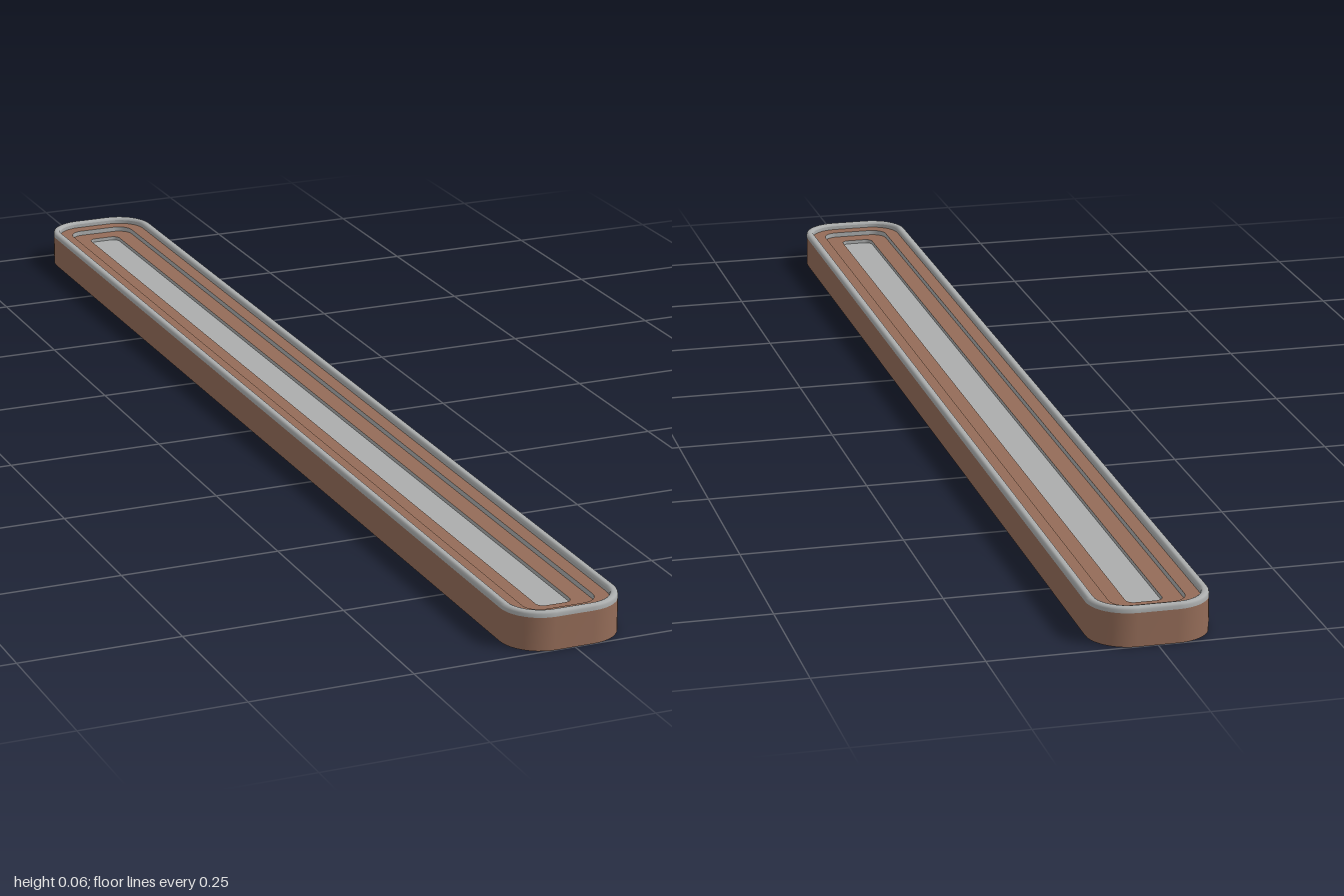
import * as THREE from 'three';

const HALF_W = 0.09, HALF_L = 1, RADIUS = 0.06, ARC = 10;

// Rounded-rectangle loop, inset from the outer outline
function outline(inset) {
  const r = Math.max(RADIUS - inset, 0.012);
  const cx = HALF_W - inset - r, cz = HALF_L - inset - r;
  const pts = [];
  [[1, 1], [-1, 1], [-1, -1], [1, -1]].forEach(([sx, sz], q) => {
    for (let i = 0; i <= ARC; i++) {
      const a = (q + i / ARC) * Math.PI / 2;
      pts.push([sx * cx + r * Math.cos(a), sz * cz + r * Math.sin(a)]);
    }
  });
  return pts;
}

// Band swept round the outline through [inset, y] profile points
function band(profile) {
  const pos = [], idx = [], n = 4 * (ARC + 1);
  for (const [inset, y] of profile) for (const [x, z] of outline(inset)) pos.push(x, y, z);
  for (let j = 0; j < profile.length - 1; j++) {
    for (let k = 0; k < n; k++) {
      const a = j * n + k, b = j * n + (k + 1) % n;
      idx.push(a, a + n, b, b, a + n, b + n);
    }
  }
  const g = new THREE.BufferGeometry();
  g.setAttribute('position', new THREE.Float32BufferAttribute(pos, 3));
  g.setIndex(idx);
  g.computeVertexNormals();
  return g;
}

// Flat plate filling the outline, facing up or down
function plate(inset, y, up) {
  const shape = new THREE.Shape(outline(inset).map(([x, z]) => new THREE.Vector2(x, z)));
  const g = new THREE.ShapeGeometry(shape);
  g.rotateX(up ? -Math.PI / 2 : Math.PI / 2);
  g.translate(0, y, 0);
  return g;
}

export function createModel() {
  const group = new THREE.Group();
  const brown = new THREE.MeshStandardMaterial({ color: 0x946c58 });
  brown.name = 'brown';
  const grey = new THREE.MeshStandardMaterial({ color: 0xabadad });
  grey.name = 'grey';

  const add = (name, geometry, material) => {
    const mesh = new THREE.Mesh(geometry, material);
    mesh.name = name;
    group.add(mesh);
  };

  // Outer shell
  add('base', plate(0, 0, false), brown);
  add('outerWall', band([[0, 0], [0, 0.051]]), brown);

  // Rounded rim
  add('rim', band([[0, 0.051], [0, 0.056], [0.0012, 0.0588], [0.004, 0.06],
    [0.008, 0.06], [0.0108, 0.0588], [0.012, 0.056]]), grey);
  add('rimInnerWall', band([[0.012, 0.056], [0.012, 0.05]]), grey);

  // Two ledges stepping down to the channel
  add('upperLedge', band([[0.012, 0.05], [0.034, 0.05]]), brown);
  add('upperStep', band([[0.034, 0.05], [0.034, 0.042]]), grey);
  add('lowerLedge', band([[0.034, 0.042], [0.063, 0.042]]), brown);
  add('lowerStep', band([[0.063, 0.042], [0.063, 0.036]]), grey);
  add('channelFloor', plate(0.063, 0.036, true), grey);

  return group;
}
